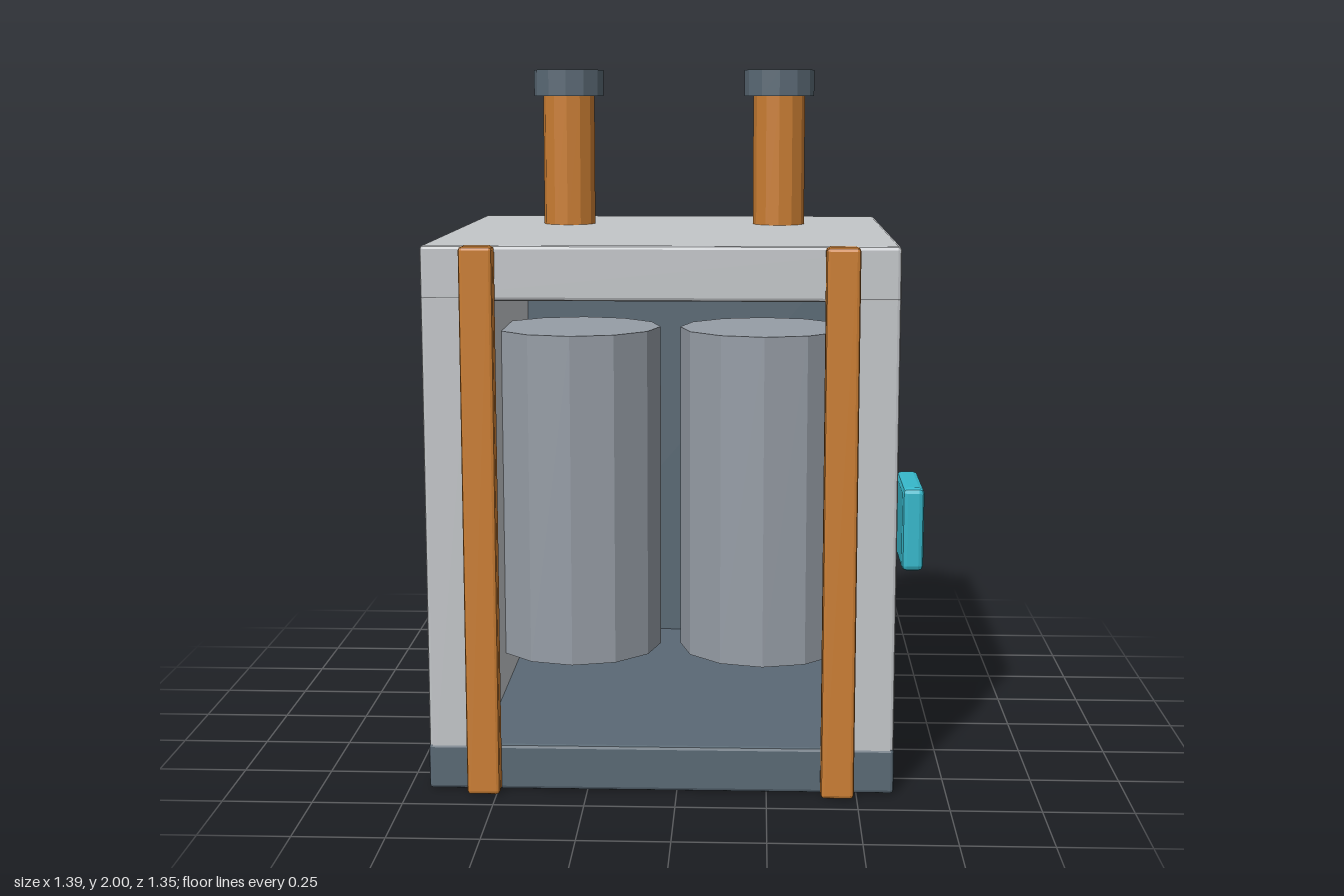
import * as THREE from 'three';
import { RoundedBoxGeometry } from 'three/addons/geometries/RoundedBoxGeometry.js';

const material = (name, color) => {
  const m = new THREE.MeshStandardMaterial({ color });
  m.name = name;
  m.flatShading = true;
  return m;
};

export function createModel() {
  const shell = material('light grey', 0xc3c6c9);
  const slate = material('slate', 0x5a6975);
  const copper = material('copper', 0xcb7e33);
  const steel = material('steel', 0x969da6);
  const cyan = material('cyan', 0x36b8cb);
  const model = new THREE.Group();
  model.name = 'tankCabinet';

  const add = (name, geometry, mat, x, y, z) => {
    const mesh = new THREE.Mesh(geometry, mat);
    mesh.name = name;
    mesh.position.set(x, y, z);
    model.add(mesh);
  };
  // Chamfered box given by its limits on each axis
  const block = (name, mat, [x0, x1], [y0, y1], [z0, z1], bevel = 0.01) =>
    add(name, new RoundedBoxGeometry(x1 - x0, y1 - y0, z1 - z0, 1, bevel), mat,
      (x0 + x1) / 2, (y0 + y1) / 2, (z0 + z1) / 2);
  // Upright twelve-sided cylinder
  const drum = (name, mat, radius, x, y0, y1, z) =>
    add(name, new THREE.CylinderGeometry(radius, radius, y1 - y0, 12), mat, x, (y0 + y1) / 2, z);

  const cx = -0.045; // cabinet middle
  const half = 0.648;
  const depth = [-0.674, 0.626];

  // Base and back sit slightly proud of the shell
  block('base', slate, [cx - half - 0.002, cx + half + 0.002], [0, 0.13], [-0.676, 0.628]);
  block('backPanel', slate, [cx - half - 0.001, cx + half + 0.001], [0.002, 1.523], [-0.673, -0.58]);
  block('roof', shell, [cx - half, cx + half], [1.375, 1.525], depth);

  for (const side of [-1, 1]) {
    const label = side > 0 ? 'left' : 'right';
    const span = (a, b) => [cx + side * a, cx + side * b].sort((p, q) => p - q);

    block(label + 'Wall', shell, span(half - 0.15, half), [0.002, 1.39], depth);
    block(label + 'FrontRail', copper, span(0.445, 0.537), [0, 1.525], [0.622, 0.676]);

    // Storage tank inside the cabinet
    drum(label + 'Tank', steel, 0.254, cx + side * 0.284, 0.24, 1.23, -0.03);

    // Pipe and cap on the roof
    const px = cx + side * 0.327;
    drum(label + 'Pipe', copper, 0.08, px, 1.5, 1.93, -0.285);
    drum(label + 'PipeCap', slate, 0.108, px, 1.92, 2, -0.285);
  }

  // Control panel beside the left wall
  block('controlPanel', cyan, [0.63, 0.692], [0.59, 0.83], [0.17, 0.44], 0.015);

  return model;
}
